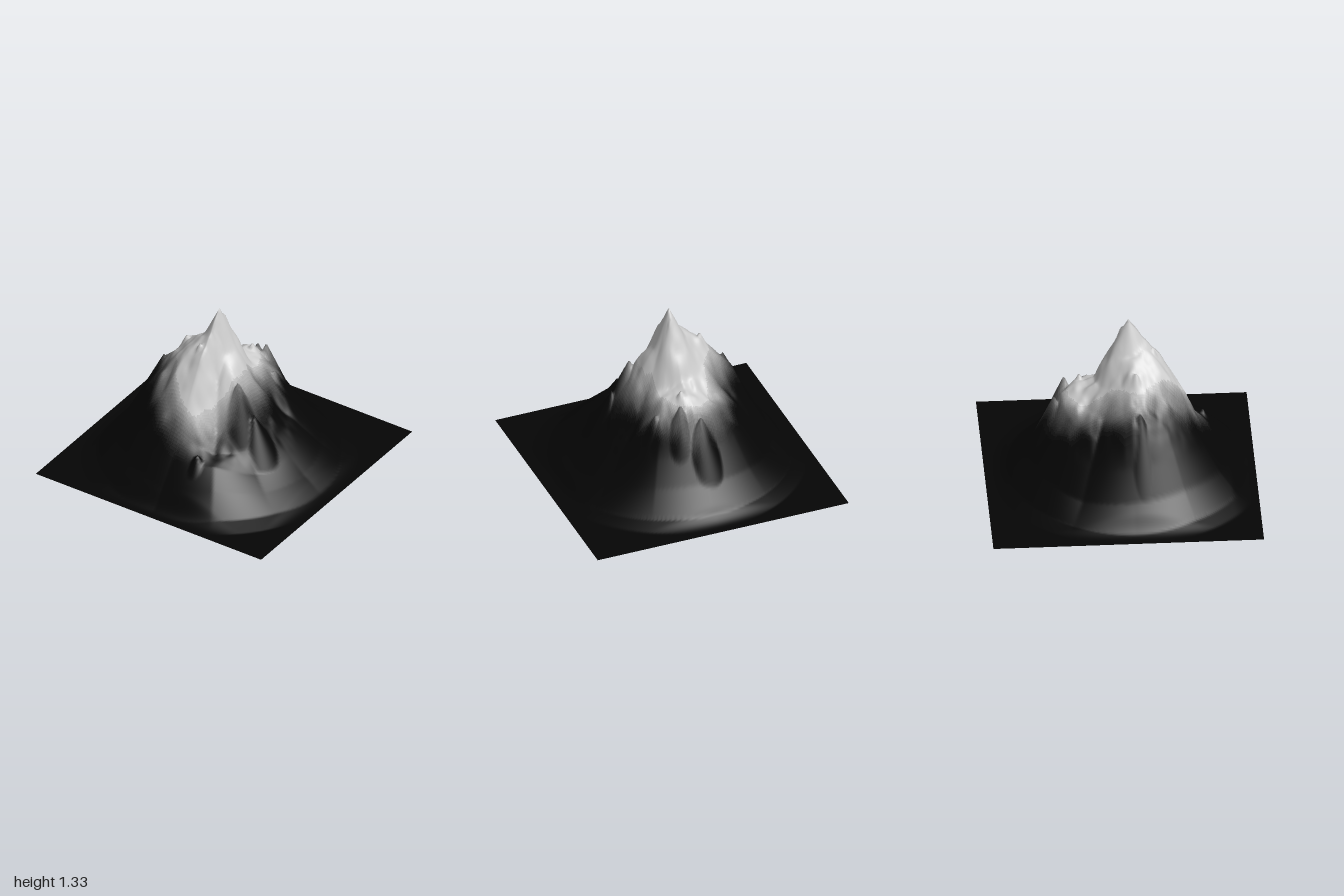
import * as THREE from 'three';

// Slope profiles around the summit: one row every 30 degrees, from +x towards +z
const RADII = [0, 0.12, 0.25, 0.38, 0.5, 0.62, 0.75, 0.9, 1.02];
const SLOPES = [
  [1.00, 0.77, 0.55, 0.37, 0.25, 0.12, 0.02],
  [1.00, 0.82, 0.60, 0.39, 0.23, 0.14, 0.04],
  [1.02, 0.75, 0.50, 0.37, 0.33, 0.21, 0.05],
  [1.17, 0.99, 0.74, 0.49, 0.32, 0.14, 0.01],
  [1.12, 1.02, 0.83, 0.64, 0.41, 0.21, 0.05],
  [1.08, 0.98, 0.82, 0.66, 0.46, 0.23, 0.05],
  [1.06, 0.98, 0.81, 0.70, 0.43, 0.19, 0.03],
  [1.06, 0.88, 0.69, 0.54, 0.36, 0.16, 0.03],
  [1.10, 0.84, 0.69, 0.61, 0.43, 0.22, 0.05],
  [1.12, 0.82, 0.78, 0.70, 0.45, 0.24, 0.06],
  [1.08, 0.80, 0.72, 0.58, 0.40, 0.22, 0.05],
  [1.02, 0.74, 0.54, 0.40, 0.28, 0.15, 0.03],
].map((row) => [1.33, ...row, 0]);
// Distance of the snow line from the summit in the same directions
const SNOW_LINE = [0.29, 0.31, 0.4, 0.5, 0.43, 0.39, 0.42, 0.35, 0.45, 0.55, 0.43, 0.28];
// Side peaks: x, z, height, steepness
const CRAGS = [
  [0.01, 0.01, 1.27, 3], [0.01, 0.14, 1.2, 2.6], [-0.05, 0.24, 1.11, 2.4],
  [-0.15, 0.08, 1.07, 2.4], [-0.26, 0.1, 1.03, 2.2], [-0.36, 0.1, 0.86, 2],
  [-0.45, 0.12, 0.79, 2], [0.26, 0.2, 0.85, 2.2], [0.4, 0.2, 0.61, 1.8],
  [0.05, -0.3, 0.84, 2], [0.1, -0.41, 0.79, 2.4], [-0.03, -0.49, 0.7, 2.2],
  [0.25, -0.3, 0.67, 1.8], [0.18, 0.62, 0.41, 1.6],
];
const SUMMIT_Z = 0.06;
const BANDS = 24;

const { lerp, smoothstep } = THREE.MathUtils;

function hash(i, j) {
  const s = Math.sin(i * 127.1 + j * 311.7) * 43758.5453;
  return s - Math.floor(s);
}

// Value noise with creased cells, -1 to 1
function noise(x, z) {
  const i = Math.floor(x), j = Math.floor(z);
  const near = lerp(hash(i, j), hash(i + 1, j), x - i);
  const far = lerp(hash(i, j + 1), hash(i + 1, j + 1), x - i);
  return lerp(near, far, z - j) * 2 - 1;
}

// Position of a point as direction (in 30 degree steps) and distance from the summit
function polar(x, z) {
  const dz = z - SUMMIT_Z;
  const a = (Math.atan2(dz, x) / (Math.PI / 6) + 12) % 12;
  const k = Math.floor(a) % 12;
  return { r: Math.hypot(x, dz), k, next: (k + 1) % 12, f: a - Math.floor(a) };
}

function profile(row, r) {
  let i = 0;
  while (i < RADII.length - 2 && r > RADII[i + 1]) i++;
  const t = Math.min(1, (r - RADII[i]) / (RADII[i + 1] - RADII[i]));
  return lerp(row[i], row[i + 1], t);
}

function height(x, z) {
  const { r, k, next, f } = polar(x, z);
  let h = lerp(profile(SLOPES[k], r), profile(SLOPES[next], r), f);
  const rough = smoothstep(r, 0.03, 0.15) * (1 - smoothstep(r, 0.35, 0.65));
  h += rough * (0.025 * noise(x * 12, z * 12) + 0.015 * noise(x * 21 + 5, z * 21));
  for (const [cx, cz, top, steep] of CRAGS) h = Math.max(h, top - steep * Math.hypot(x - cx, z - cz));
  // Flatten towards the square rim
  return h * (1 - smoothstep(Math.max(Math.abs(x), Math.abs(z)), 0.8, 0.99));
}

// 0 on bare rock, 1 on full snow
function snow(x, z) {
  const { r, k, next, f } = polar(x, z);
  const edge = lerp(SNOW_LINE[k], SNOW_LINE[next], f) + 0.035 * noise(x * 13, z * 13);
  return 1 - smoothstep(r, edge - 0.15, edge + 0.16);
}

export function createModel() {
  const group = new THREE.Group();
  group.name = 'mountain';

  // Square sheet raised into the mountain, open underneath
  const terrain = new THREE.PlaneGeometry(2, 2, 150, 150).rotateX(-Math.PI / 2);
  const pos = terrain.attributes.position;
  for (let i = 0; i < pos.count; i++) pos.setY(i, height(pos.getX(i), pos.getZ(i)));
  // Put the nearest vertex exactly on the summit
  const summit = Math.round((1 + SUMMIT_Z) * 75) * 151 + 75;
  pos.setXYZ(summit, 0, 1.33, SUMMIT_Z);
  terrain.computeVertexNormals();

  // Sort the faces into bands from rock to snow
  const bands = Array.from({ length: BANDS }, () => []);
  const index = terrain.index.array;
  for (let i = 0; i < index.length; i += 3) {
    const tri = [index[i], index[i + 1], index[i + 2]];
    const x = tri.reduce((s, v) => s + pos.getX(v), 0) / 3;
    const z = tri.reduce((s, v) => s + pos.getZ(v), 0) / 3;
    bands[Math.round(snow(x, z) * (BANDS - 1))].push(...tri);
  }

  const rock = new THREE.Color(0x050505), white = new THREE.Color(0xcccccc);
  bands.forEach((faces, b) => {
    const geometry = new THREE.BufferGeometry();
    geometry.setAttribute('position', pos);
    geometry.setAttribute('normal', terrain.attributes.normal);
    geometry.setIndex(faces);
    const color = rock.clone().lerp(white, (b / (BANDS - 1)) ** 1.8);
    const mesh = new THREE.Mesh(geometry, new THREE.MeshStandardMaterial({ color, side: THREE.DoubleSide }));
    mesh.name = b === 0 ? 'rockBase' : b === BANDS - 1 ? 'snowCap' : `snowFringe${b}`;
    group.add(mesh);
  });
  return group;
}
